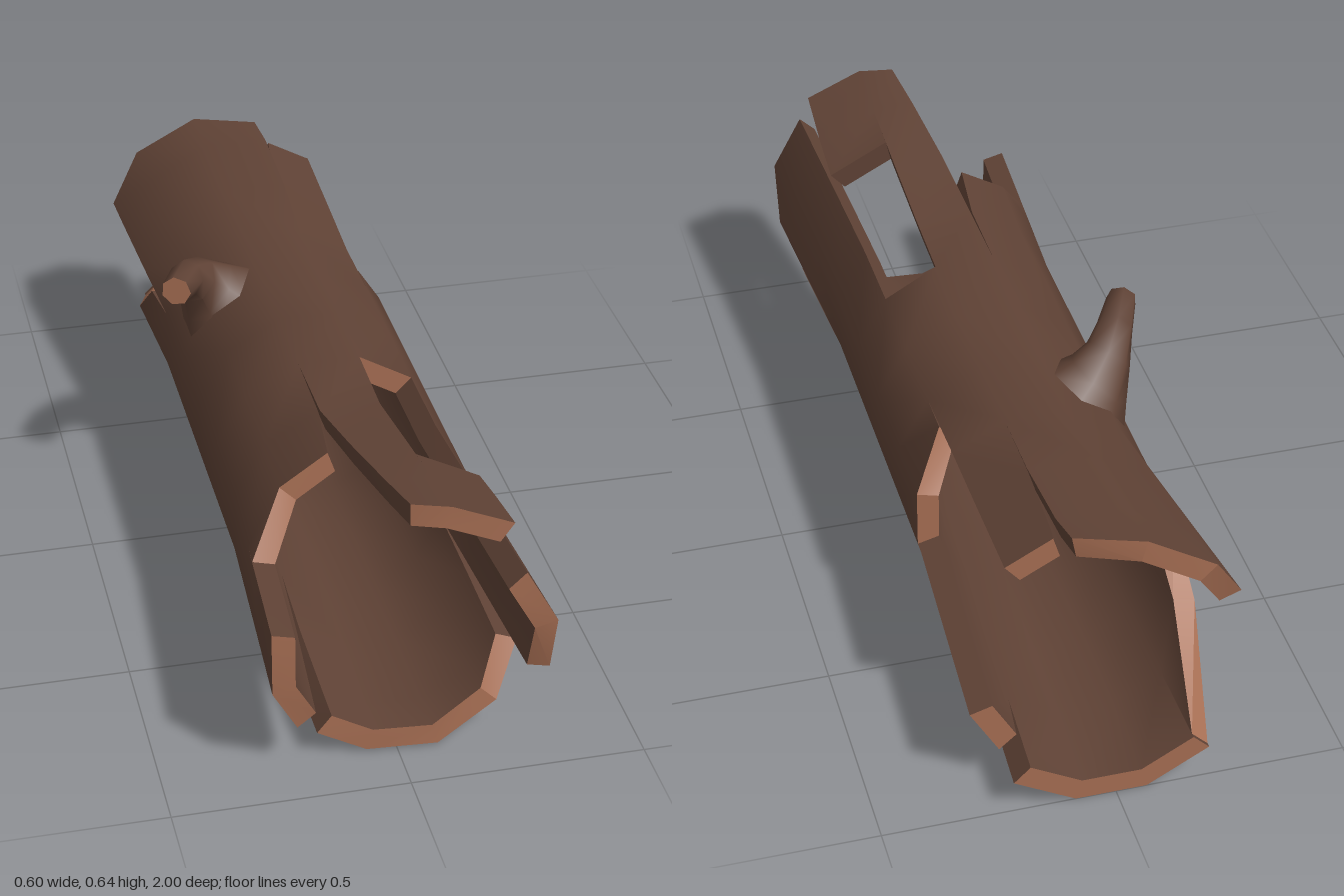
import * as THREE from 'three';
import { toCreasedNormals } from 'three/addons/utils/BufferGeometryUtils.js';

const CX = 0.01, CY = 0.293, THICK = 0.05;
const clamp01 = t => Math.min(1, Math.max(0, t));

// Plank columns: [angle, angle at the tip, z where the crack starts, z of the tip]
const FRONT = [
  { cols: [[-15, -13, 0.4, 0.96], [15, 15, 0, 1], [45, 43, 0.2, 1]] },
  { cols: [[45, 45, 0, 0.2], [75, 75, 0, 0.2]] },
  { cols: [[75, 78, 0.2, 0.95], [105, 91, 0.38, 0.93]], lift: 0.06 },
  { cols: [[48, 55, 0.68, 0.95], [75, 78, 0.2, 0.95]], lift: 0.06, start: 0.68 },
  { cols: [[105, 109, 0.38, 0.57], [135, 135, 0, 0.58], [165, 165, 0, 0.66]] },
  { cols: [[165, 166, 0.66, 0.92], [195, 195, 0, 0.92], [225, 219, 0.5, 0.9]] },
  { cols: [[225, 232, 0.5, 0.87], [255, 255, 0, 0.88], [285, 285, 0, 0.89], [315, 315, 0, 0.87], [345, 338, 0.4, 0.8]] },
];
const BACK = [
  { cols: [[-15, -15, 0, 0.37], [15, 15, 0, 0.37]] },
  { cols: [[15, 15, 0, 0.37], [45, 45, 0, 0.3]] },
  { cols: [[45, 50, 0.28, 0.83], [75, 73, 0.74, 0.83]] },
  { cols: [[75, 79, 0.74, 0.88], [105, 105, 0, 0.93], [135, 135, 0, 0.94], [165, 159, 0.4, 0.9]], lift: 0.03 },
  { cols: [[165, 168, 0.4, 0.54], [195, 195, 0, 0.7], [225, 225, 0, 0.99]] },
  { cols: [[225, 225, 0, 1], [255, 255, 0, 1], [285, 285, 0, 1], [315, 315, 0, 1]] },
  { cols: [[315, 318, 0.87, 0.91], [345, 343, 0.4, 0.91]] },
];

// Adds a quad as two triangles, dropping collapsed ones
function quad(out, a, b, c, d, flip) {
  for (const [p, q, r] of [[a, b, c], [a, c, d]]) {
    const area = q.clone().sub(p).cross(r.clone().sub(p)).length();
    if (area < 1e-7) continue;
    for (const v of flip ? [p, r, q] : [p, q, r]) out.push(v.x, v.y, v.z);
  }
}

// One curved plank with thickness, running from the middle out to a broken tip
function plank({ cols, lift = 0, start = 0 }, dir, bark, cut) {
  const stations = [start, 0.2, 0.4, 0.6, 0.8, 1];
  const grid = depth => cols.map(([a0, a1, tip, end]) => stations.map(s => {
    const z = Math.max(start, Math.min(s, end));
    const t = end > tip ? clamp01((z - tip) / (end - tip)) : 0;
    const a = THREE.MathUtils.degToRad(a0 + (a1 - a0) * t);
    const r = 0.264 + 0.055 * Math.max(0, z - 0.4) + lift * clamp01((z - 0.4) / 0.55) - depth;
    return new THREE.Vector3(CX + r * Math.cos(a), CY + r * Math.sin(a), z * dir);
  }));
  const o = grid(0), n = grid(THICK), back = dir < 0;
  const last = cols.length - 1, top = stations.length - 1;
  for (let i = 0; i < last; i++) {
    for (let j = 0; j < top; j++) {
      quad(bark, o[i][j], o[i + 1][j], o[i + 1][j + 1], o[i][j + 1], back);
      quad(bark, n[i][j], n[i + 1][j], n[i + 1][j + 1], n[i][j + 1], !back);
    }
    quad(cut, o[i][top], o[i + 1][top], n[i + 1][top], n[i][top], back);
    if (start) quad(bark, o[i][0], o[i + 1][0], n[i + 1][0], n[i][0], !back);
  }
  for (let j = 0; j < top; j++) {
    quad(bark, o[0][j], o[0][j + 1], n[0][j + 1], n[0][j], back);
    quad(bark, o[last][j], o[last][j + 1], n[last][j + 1], n[last][j], !back);
  }
}

// Branch stub swept through tapering rings
function branch(bark, cut) {
  const rings = [
    { p: [-0.145, 0.455, -0.26], d: [-0.7, 0.7, 0], r: 0.115 },
    { p: [-0.175, 0.5, -0.25], d: [-0.7, 0.7, 0.1], r: 0.082 },
    { p: [-0.205, 0.545, -0.225], d: [-0.65, 0.65, 0.4], r: 0.056 },
    { p: [-0.235, 0.58, -0.175], d: [-0.55, 0.35, 0.75], r: 0.042 },
    { p: [-0.273, 0.594, -0.095], d: [-0.4, 0.08, 0.9], r: 0.034 },
  ].map(({ p, d, r }) => {
    const dir = new THREE.Vector3(...d).normalize();
    const u = new THREE.Vector3(0.7, 0.7, 0).addScaledVector(dir, -dir.dot(new THREE.Vector3(0.7, 0.7, 0))).normalize();
    const v = dir.clone().cross(u);
    return Array.from({ length: 7 }, (_, k) => {
      const a = k / 7 * Math.PI * 2;
      return new THREE.Vector3(...p).addScaledVector(u, r * Math.cos(a)).addScaledVector(v, r * Math.sin(a));
    });
  });
  const end = rings[rings.length - 1];
  for (let k = 0; k < 7; k++) {
    const m = (k + 1) % 7;
    for (let j = 0; j < rings.length - 1; j++)
      quad(bark, rings[j][k], rings[j][m], rings[j + 1][m], rings[j + 1][k]);
    if (k > 0 && k < 6) quad(cut, end[0], end[k], end[m], end[m]);
  }
}

function makeMesh(name, positions, material, crease) {
  const g = new THREE.BufferGeometry();
  g.setAttribute('position', new THREE.Float32BufferAttribute(positions, 3));
  g.computeVertexNormals();
  const mesh = new THREE.Mesh(toCreasedNormals(g, crease), material);
  mesh.name = name;
  return mesh;
}

export function createModel() {
  const barkMat = new THREE.MeshStandardMaterial({ color: 0x5f4235 });
  barkMat.name = 'bark';
  const woodMat = new THREE.MeshStandardMaterial({ color: 0xa66e53 });
  woodMat.name = 'cutWood';

  const shell = [], ends = [], stub = [], stubEnd = [];
  FRONT.forEach(s => plank(s, 1, shell, ends));
  BACK.forEach(s => plank(s, -1, shell, ends));
  branch(stub, stubEnd);

  const group = new THREE.Group();
  group.name = 'hollowLog';
  group.add(
    makeMesh('logShell', shell, barkMat, 0.7),
    makeMesh('brokenEnds', ends, woodMat, 0.3),
    makeMesh('branchStub', stub, barkMat, 1.1),
    makeMesh('branchCut', stubEnd, woodMat, 0.3),
  );
  return group;
}
